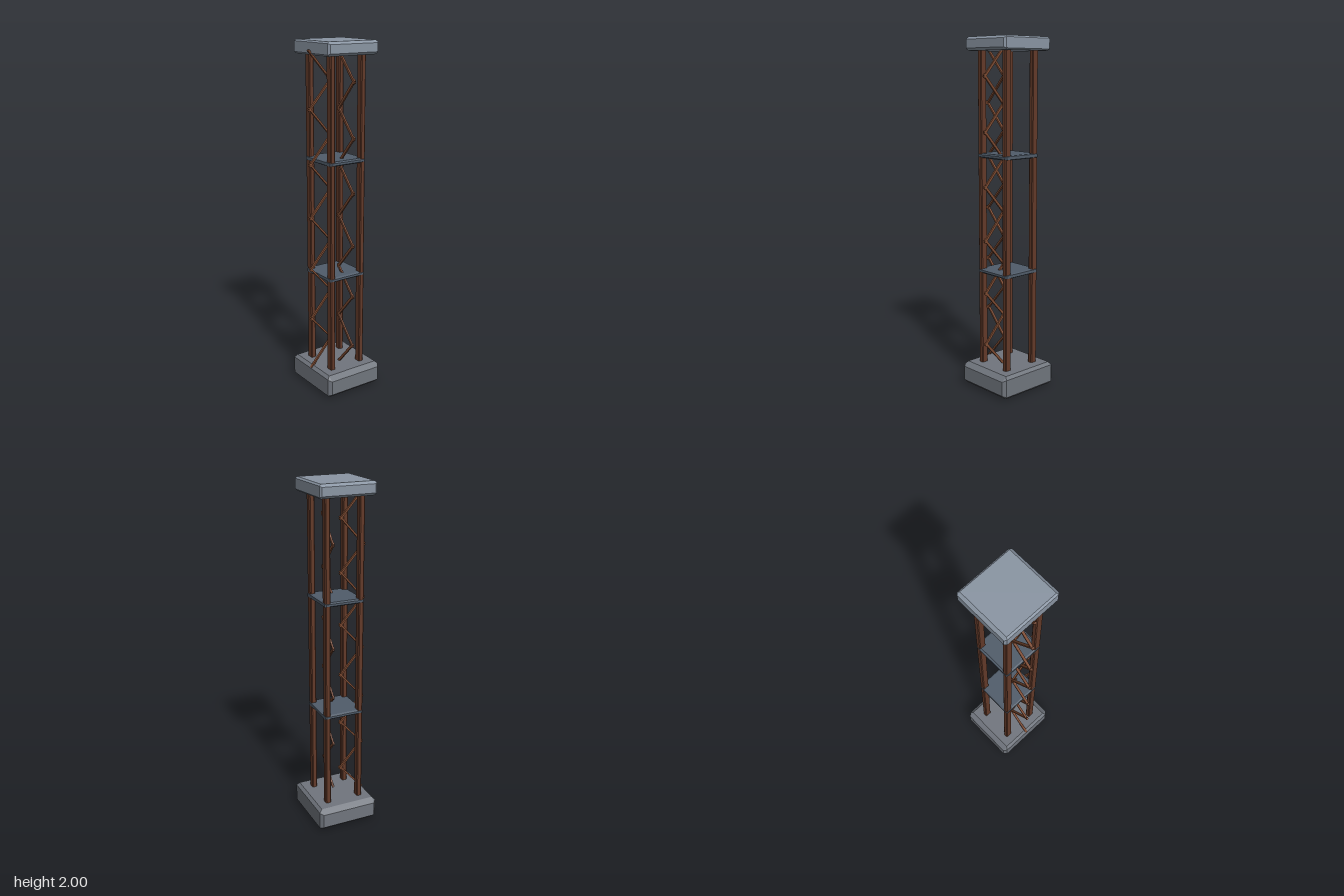
import * as THREE from 'three';
import { ConvexGeometry } from 'three/addons/geometries/ConvexGeometry.js';

const paint = (color) => new THREE.MeshStandardMaterial({ color, flatShading: true });
const stone = paint(0x70757d), slate = paint(0x8a95a3), steel = paint(0x505c6a);
const wood = paint(0x633a29), lightWood = paint(0x7c4a31);

// Box with chamfered edges; bx, by, bz are the insets along each axis
function chamferBox(w, h, d, bx, by, bz) {
  const x = w / 2, y = h / 2, z = d / 2, points = [];
  for (const sx of [-1, 1]) for (const sy of [-1, 1]) for (const sz of [-1, 1]) {
    points.push(
      new THREE.Vector3(sx * x, sy * (y - by), sz * (z - bz)),
      new THREE.Vector3(sx * (x - bx), sy * y, sz * (z - bz)),
      new THREE.Vector3(sx * (x - bx * 0.65), sy * (y - by * 0.65), sz * z));
  }
  return new ConvexGeometry(points);
}

export function createModel() {
  const tower = new THREE.Group();
  tower.name = 'tower';
  const add = (name, geometry, material, x, y, z, parent = tower) => {
    const mesh = new THREE.Mesh(geometry, material);
    mesh.name = name;
    mesh.position.set(x, y, z);
    parent.add(mesh);
    return mesh;
  };

  // Heavy foot and top slab
  add('base', chamferBox(0.396, 0.135, 0.361, 0.03, 0.026, 0.017), stone, 0, 0.0675, -0.0025);
  add('topSlab', chamferBox(0.342, 0.075, 0.323, 0.017, 0.014, 0.01), slate, 0, 1.9625, -0.0015);

  // Two platforms between the legs
  const platform = chamferBox(0.246, 0.026, 0.236, 0.01, 0.007, 0.008);
  for (const y of [0.688, 1.352]) add('platform', platform, steel, 0, y, 0);

  // Four corner legs
  const leg = chamferBox(0.04, 1.81, 0.03, 0.006, 0.006, 0.005);
  for (const x of [-0.101, 0.101]) for (const z of [-0.1, 0.1]) add('leg', leg, wood, x, 1.03, z);

  // Zigzag braces: one across the front side, one across the left side
  const steps = 12, bottom = 0.13, rise = 0.151, reach = 0.067, overshoot = 0.012;
  const length = Math.hypot(2 * reach, rise) + 2 * overshoot;
  const tilt = Math.atan2(2 * reach, rise);
  const rod = new THREE.BoxGeometry(0.014, length, 0.01);
  const frontBrace = new THREE.Group(), leftBrace = new THREE.Group();
  frontBrace.name = 'frontBrace';
  leftBrace.name = 'leftBrace';
  tower.add(frontBrace, leftBrace);
  for (let i = 0; i < steps; i++) {
    const y = bottom + rise * (i + 0.5), turn = i % 2 ? 1 : -1;
    add('braceRod', rod, lightWood, 0, y, 0.1, frontBrace).rotation.x = turn * tilt;
    add('braceRod', rod, lightWood, 0.1, y, 0, leftBrace).rotation.z = turn * tilt;
  }
  return tower;
}
